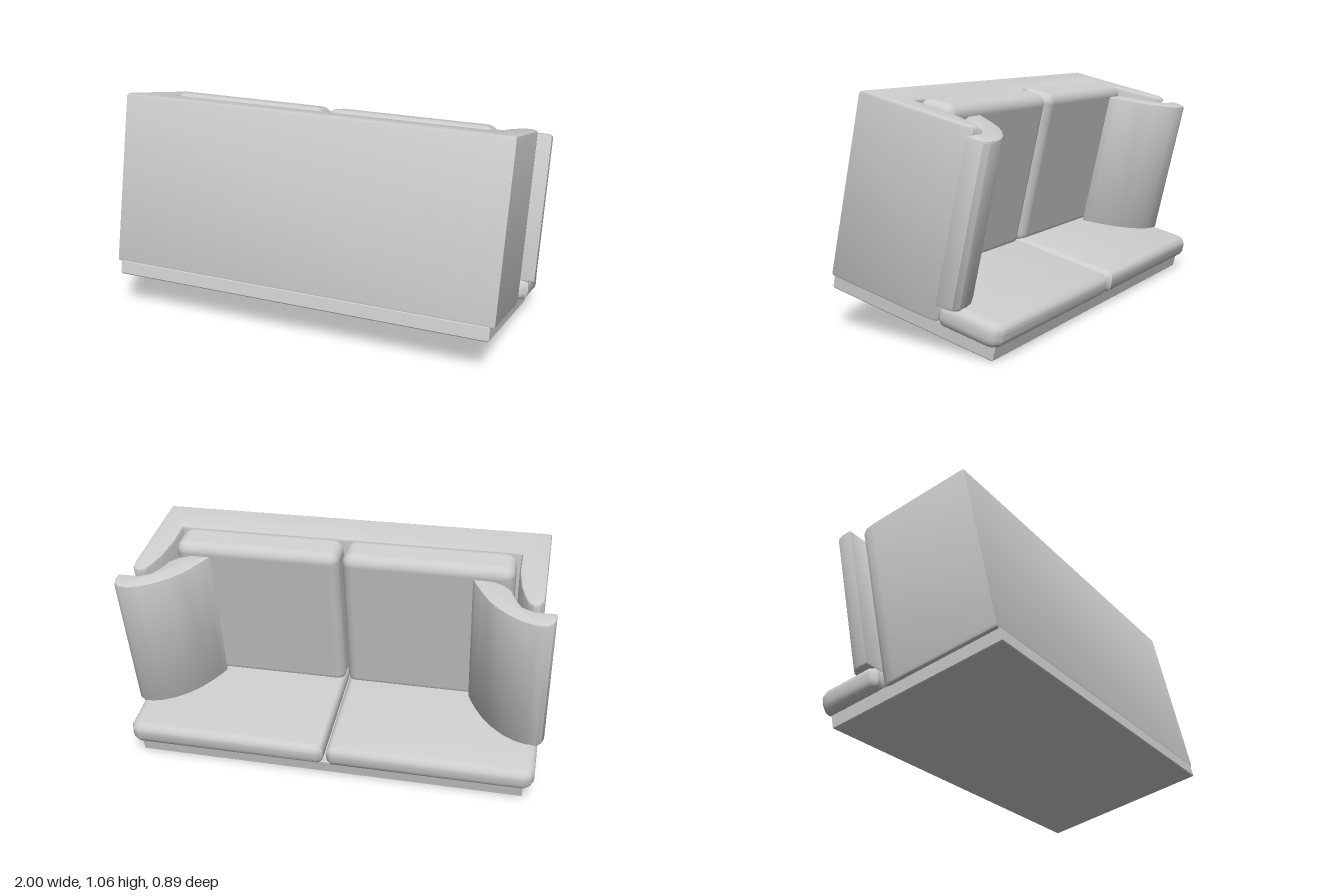
import * as THREE from 'three';
import { toCreasedNormals } from 'three/addons/utils/BufferGeometryUtils.js';
import { RoundedBoxGeometry } from 'three/addons/geometries/RoundedBoxGeometry.js';

const fabric = new THREE.MeshStandardMaterial({ color: 0xcccccc });
fabric.name = 'greyFabric';

// Extrudes an (across, up) outline from the depth z0 to z1, with an edge rounded inwards
function padded(name, shape, z0, z1, edge, segments) {
  const g = new THREE.ExtrudeGeometry(shape, {
    depth: z1 - z0 - 2 * edge, curveSegments: 8,
    bevelEnabled: true, bevelThickness: edge, bevelSize: edge, bevelOffset: -edge, bevelSegments: segments,
  });
  g.translate(0, 0, z0 + edge);
  const mesh = new THREE.Mesh(toCreasedNormals(g, 0.6), fabric);
  mesh.name = name;
  return mesh;
}

const outline = (points, side = 1) =>
  new THREE.Shape(points.map(([x, y]) => new THREE.Vector2(x * side, y)));

export function createModel() {
  const model = new THREE.Group();
  model.name = 'sofa';

  // Upright sofa: x across, y up from its underside, z from its back to its front
  const sofa = new THREE.Group();
  sofa.name = 'sofaBody';
  model.add(sofa);

  // Base and both side panels in one U-shaped frame
  const half = [
    [0.82, 0.19], [0.82, 0.33], [0.835, 0.44], [0.855, 0.51], [0.875, 0.555],
    [0.9, 0.575], [0.925, 0.565], [0.94, 0.54], [0.945, 0.5], [0.945, 0],
  ];
  const mirrored = half.map(([x, y]) => [-x, y]).reverse();
  sofa.add(padded('frame', outline([...half, ...mirrored]), 0.06, 0.893, 0.014, 2));

  // Back panel
  sofa.add(padded('backPanel',
    outline([[-0.925, 0], [0.925, 0], [0.925, 0.85], [-0.925, 0.85]]), 0, 0.068, 0.005, 1));

  for (const side of [1, -1]) {
    const label = side > 0 ? 'left' : 'right';

    // Arm pad draped over the side panel
    const arm = [
      [1.0, 0.585], [1.0, 0.63], [0.99, 0.66], [0.965, 0.678], [0.92, 0.682],
      [0.865, 0.667], [0.81, 0.638], [0.75, 0.59], [0.705, 0.54], [0.665, 0.48],
      [0.635, 0.425], [0.62, 0.39], [0.71, 0.39], [0.765, 0.415], [0.8, 0.455],
      [0.82, 0.51], [0.85, 0.56], [0.9, 0.585],
    ];
    sofa.add(padded(label + 'ArmPad', outline(arm, side), 0.16, 0.872, 0.012, 2));

    // Seat cushion
    const seat = new THREE.Mesh(new RoundedBoxGeometry(0.795, 0.18, 0.77, 4, 0.05), fabric);
    seat.name = label + 'SeatCushion';
    seat.position.set(side * 0.405, 0.278, 0.523);
    sofa.add(seat);

    // Back cushion, widened above the arm
    const back = [
      [0.008, 0.25], [0.81, 0.25], [0.81, 0.575], [0.95, 0.575], [0.973, 0.6],
      [0.973, 0.83], [0.96, 0.86], [0.93, 0.88], [0.03, 0.88], [0.008, 0.86],
    ];
    sofa.add(padded(label + 'BackCushion', outline(back, side), 0.064, 0.172, 0.04, 4));
  }

  // The sofa is tipped over onto its back, resting on the top edge
  sofa.rotation.x = -1.796;
  sofa.position.set(0, 0.192, 0.445);
  return model;
}
